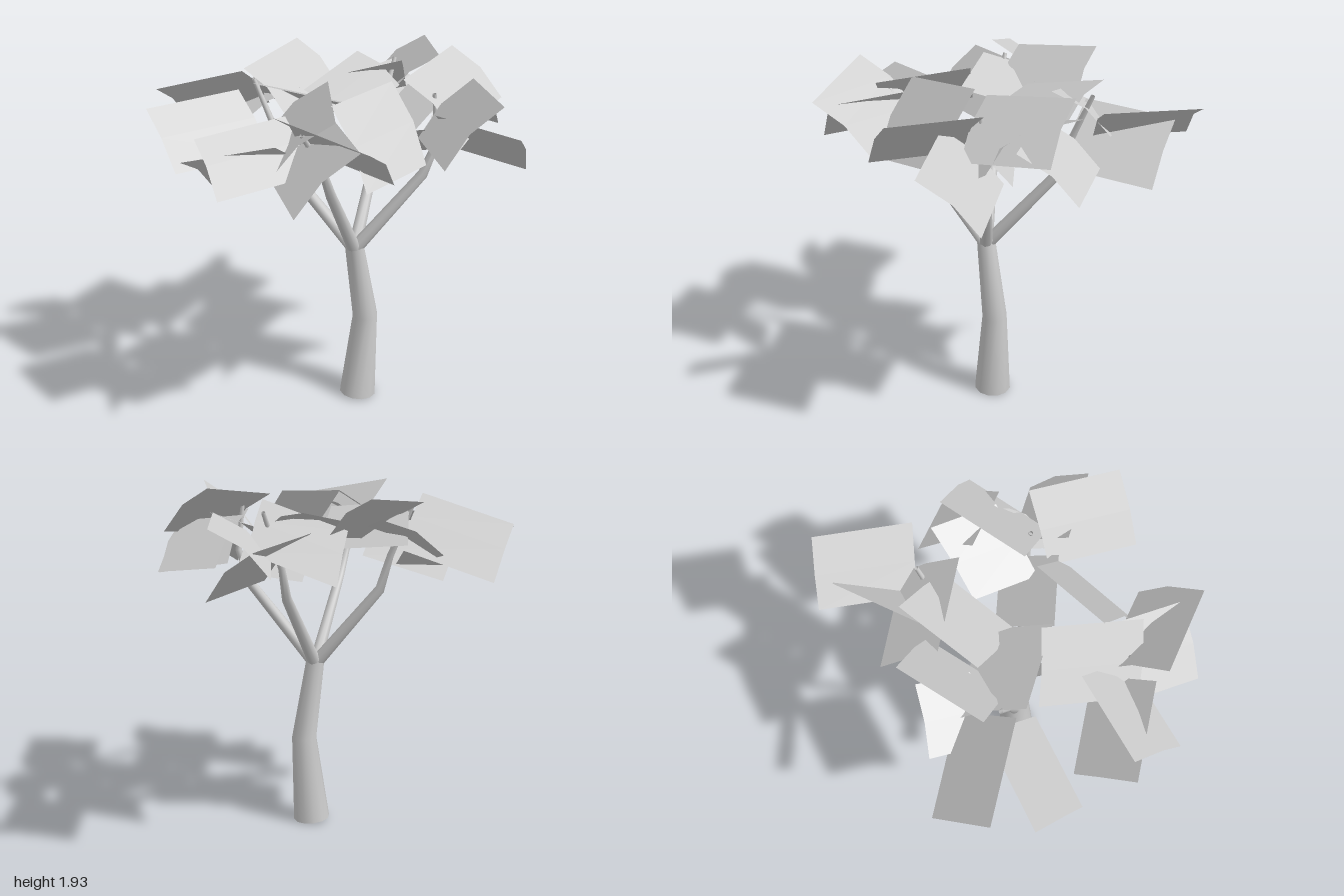
import * as THREE from 'three';
import { mergeVertices } from 'three/addons/utils/BufferGeometryUtils.js';

const grey = new THREE.MeshStandardMaterial({ color: 0xcccccc, side: THREE.DoubleSide });
grey.name = 'plain grey';

// Tapered open limb: the rows of a cylinder are moved onto a bent path of [x, y, z, radius]
function limb(name, path, sides) {
  const rows = path.length - 1;
  const base = new THREE.CylinderGeometry(1, 1, rows, sides, rows, true);
  base.deleteAttribute('uv');
  const geo = mergeVertices(base, 1e-4);
  const pts = path.map(([x, y, z]) => new THREE.Vector3(x, y, z));
  const up = new THREE.Vector3(0, 1, 0);
  const turns = pts.map((p, i) => {
    const dir = pts[Math.min(i + 1, rows)].clone().sub(pts[Math.max(i - 1, 0)]).normalize();
    return new THREE.Quaternion().setFromUnitVectors(up, dir);
  });
  const pos = geo.attributes.position;
  const v = new THREE.Vector3();
  for (let i = 0; i < pos.count; i++) {
    v.fromBufferAttribute(pos, i);
    const row = Math.round(v.y + rows / 2);
    v.y = 0;
    v.multiplyScalar(path[row][3]).applyQuaternion(turns[row]).add(pts[row]);
    pos.setXYZ(i, v.x, v.y, v.z);
  }
  geo.computeVertexNormals();
  const mesh = new THREE.Mesh(geo, grey);
  mesh.name = name;
  return mesh;
}

// Four-sided leaf sheet from three consecutive corners, arched along its level middle line
const ARCH = 0.035;
function leafSheet(...corners) {
  let [a, b, c] = corners.map((p) => new THREE.Vector3(...p));
  let d = a.clone().add(c).sub(b);
  if (Math.abs(a.y - b.y) < Math.abs(b.y - c.y)) [a, b, c, d] = [b, c, d, a];
  const normal = b.clone().sub(a).cross(d.clone().sub(a)).normalize();
  const facesUp = normal.y > 0;
  if (!facesUp) normal.negate();
  const middle = (p, q) => p.clone().lerp(q, 0.5).addScaledVector(normal, ARCH);
  const points = [a, d, middle(a, b), middle(d, c), b, c];
  const geo = new THREE.BufferGeometry().setFromPoints(points);
  geo.setIndex(facesUp
    ? [0, 2, 3, 0, 3, 1, 2, 4, 5, 2, 5, 3]
    : [0, 3, 2, 0, 1, 3, 2, 5, 4, 2, 3, 5]);
  // One shared normal keeps each sheet evenly shaded
  const normals = points.flatMap(() => normal.toArray());
  geo.setAttribute('normal', new THREE.Float32BufferAttribute(normals, 3));
  const mesh = new THREE.Mesh(geo, grey);
  mesh.name = 'leafSheet';
  return mesh;
}

// One branch path and one cluster of leaf sheets on each side of the crown
const crown = {
  left: {
    path: [[0.43, 1.36, 0.01, 0.027], [0.5, 1.55, 0, 0.019], [0.48, 1.8, 0.02, 0.011]],
    leaves: [
      [[0.46, 1.93, -0.43], [0.75, 1.69, -0.37], [0.61, 1.62, 0.09]],
      [[0.89, 1.88, 0.36], [0.66, 1.6, 0.53], [0.43, 1.6, 0.13]],
      [[0.53, 1.75, 0.2], [0.955, 1.67, 0.205], [0.945, 1.41, -0.095]],
      [[0.37, 1.55, -0.54], [0.72, 1.5, -0.5], [0.7, 1.73, -0.2]],
      [[0.55, 1.8, -0.24], [0.68, 1.6, -0.05], [0.58, 1.46, 0.15]],
      [[0.1, 1.41, -0.06], [0.46, 1.45, -0.13], [0.47, 1.66, 0.17]],
    ],
  },
  right: {
    path: [[-0.27, 1.36, 0.14, 0.027], [-0.33, 1.55, 0.13, 0.019], [-0.45, 1.82, 0.12, 0.011]],
    leaves: [
      [[-0.48, 1.88, 0.2], [-0.966, 1.74, 0.21], [-0.94, 1.485, -0.085]],
      [[-0.925, 1.7, 0.41], [-0.69, 1.44, 0.59], [-0.32, 1.48, 0.26]],
      [[-0.4, 1.91, -0.39], [-0.15, 1.7, -0.33], [-0.28, 1.64, 0.12]],
      [[-0.42, 1.8, -0.3], [-0.7, 1.62, -0.16], [-0.55, 1.55, 0.06]],
      [[-0.41, 1.83, 0.23], [0.05, 1.78, 0.24], [-0.04, 1.6, -0.1]],
    ],
  },
  front: {
    path: [[0.07, 1.36, 0.43, 0.027], [0.05, 1.55, 0.52, 0.019], [0, 1.74, 0.64, 0.011]],
    leaves: [
      [[-0.08, 1.72, 0.78], [-0.55, 1.6, 0.81], [-0.52, 1.355, 0.51]],
      [[-0.49, 1.71, 0.77], [-0.29, 1.5, 0.975], [0.04, 1.54, 0.64]],
      [[-0.08, 1.88, 0.82], [0.41, 1.78, 0.9], [0.44, 1.53, 0.6]],
      [[0.085, 1.47, 0.99], [0.34, 1.75, 0.81], [0.1, 1.77, 0.47]],
      [[0.28, 1.87, 0.1], [0.5, 1.5, 0.23], [0.31, 1.47, 0.61]],
      [[-0.31, 1.6, 0.27], [-0.02, 1.87, 0.2], [0.17, 1.82, 0.65]],
    ],
  },
  back: {
    path: [[0.1, 1.36, -0.27, 0.027], [0.1, 1.53, -0.33, 0.019], [0.14, 1.83, -0.46, 0.011]],
    leaves: [
      [[-0.1, 1.59, -0.91], [0.17, 1.82, -1.0], [0.37, 1.83, -0.55]],
      [[0.01, 1.7, -0.86], [0.3, 1.43, -0.79], [0.2, 1.46, -0.32]],
      [[-0.28, 1.5, -0.545], [0.18, 1.64, -0.56], [0.23, 1.87, -0.27]],
      [[-0.08, 1.84, -0.48], [0.2, 1.71, -0.35], [0.04, 1.6, 0.08]],
      [[0.15, 1.6, -0.18], [0.38, 1.8, -0.46], [0.6, 1.78, -0.19]],
    ],
  },
};

export function createModel() {
  const tree = new THREE.Group();
  tree.name = 'tree';

  // Kinked trunk
  tree.add(limb('trunk', [
    [0.102, 0.01, 0.068, 0.102], [0.136, 0.5, 0.045, 0.069], [0.09, 0.935, 0.1, 0.051],
  ], 12));

  // Branches all start just inside the trunk top
  for (const [side, { path, leaves }] of Object.entries(crown)) {
    tree.add(limb(side + 'Branch', [[0.09, 0.92, 0.1, 0.037], ...path], 8));
    const foliage = new THREE.Group();
    foliage.name = side + 'Foliage';
    leaves.forEach((corners) => foliage.add(leafSheet(...corners)));
    tree.add(foliage);
  }
  return tree;
}
